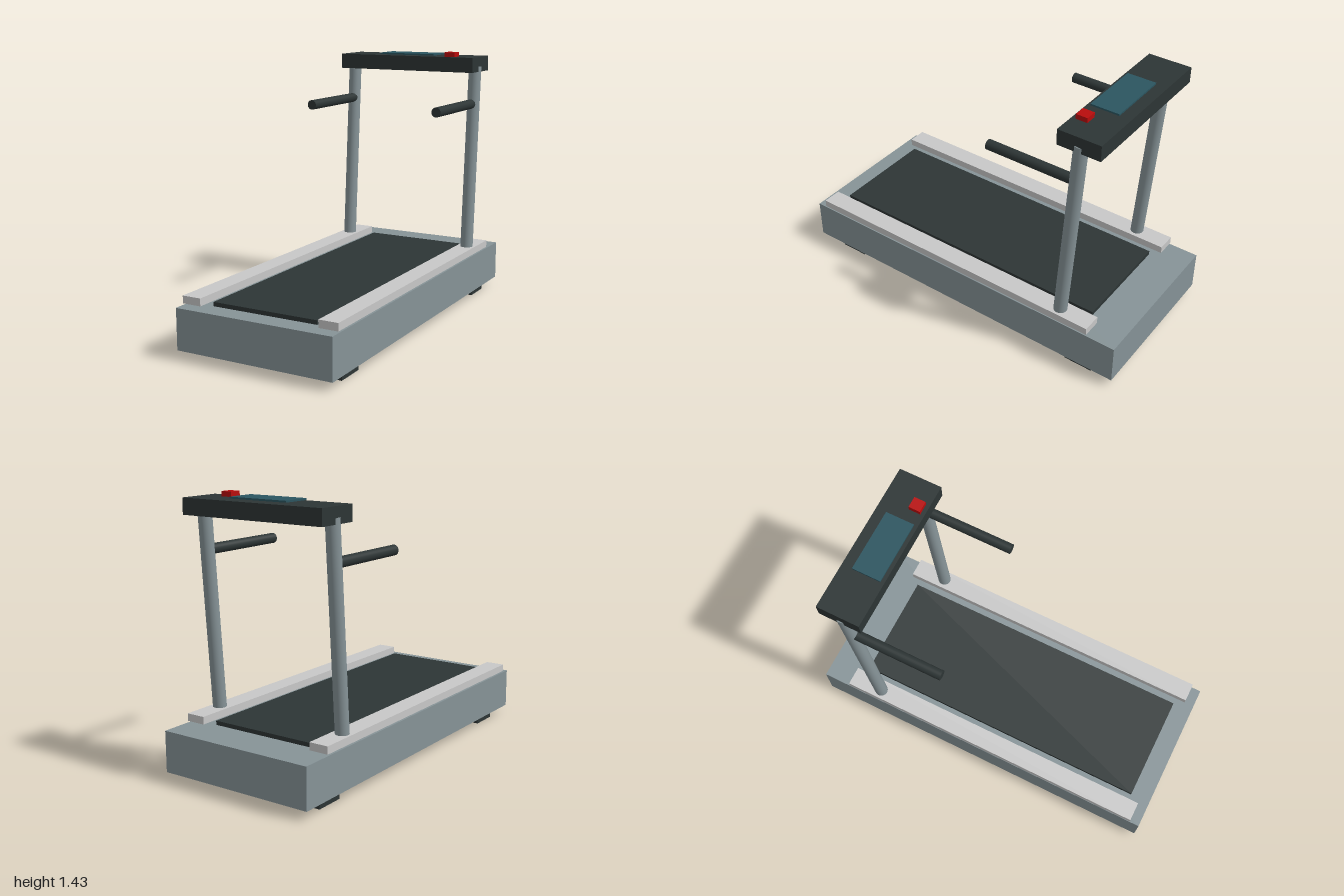
import * as THREE from 'three';

export function createModel() {
  const group = new THREE.Group();
  const mat = (name, color) => {
    const m = new THREE.MeshStandardMaterial({ color });
    m.name = name;
    return m;
  };
  const steel = mat('steel grey', 0x869397);
  const dark = mat('dark charcoal', 0x2d3535);
  const pale = mat('pale grey', 0xc8c8c8);
  const glass = mat('screen teal', 0x2b5560);
  const red = mat('stop red', 0xb80c0c);

  const add = (name, geometry, material) => {
    const mesh = new THREE.Mesh(geometry, material);
    mesh.name = name;
    group.add(mesh);
    return mesh;
  };
  // Box given by its limits on each axis
  const box = (name, material, [x0, x1], [y0, y1], [z0, z1]) =>
    add(name, new THREE.BoxGeometry(x1 - x0, y1 - y0, z1 - z0), material)
      .position.set((x0 + x1) / 2, (y0 + y1) / 2, (z0 + z1) / 2);
  // Cylinder between two points
  const rod = (name, material, a, b, radius) => {
    const dir = b.clone().sub(a);
    const mesh = add(name, new THREE.CylinderGeometry(radius, radius, dir.length(), 24), material);
    mesh.position.copy(a).add(b).multiplyScalar(0.5);
    mesh.quaternion.setFromUnitVectors(new THREE.Vector3(0, 1, 0), dir.normalize());
  };

  // Deck and running belt
  box('deck', steel, [-0.44, 0.44], [0.045, 0.262], [-1, 1]);
  box('belt', dark, [-0.295, 0.295], [0.25, 0.284], [-0.785, 0.89]);

  for (const s of [1, -1]) {
    const side = s > 0 ? 'left' : 'right';
    const span = (a, b) => (s > 0 ? [a, b] : [-b, -a]);
    // Feet, side rail
    box(side + 'FrontFoot', dark, span(0.28, 0.408), [0, 0.045], [0.7, 0.86]);
    box(side + 'BackFoot', dark, span(0.28, 0.408), [0, 0.045], [-0.86, -0.7]);
    box(side + 'Rail', pale, span(0.334, 0.44), [0.27, 0.31], [-0.837, 0.945]);
    // Leaning post and forward handle
    rod(side + 'Post', steel, new THREE.Vector3(s * 0.39, 0.262, -0.647),
      new THREE.Vector3(s * 0.39, 1.353, -0.722), 0.036);
    rod(side + 'Handle', dark, new THREE.Vector3(s * 0.386, 1.14, -0.695),
      new THREE.Vector3(s * 0.386, 1.14, -0.198), 0.027);
  }

  // Console with screen and stop button
  box('console', dark, [-0.42, 0.42], [1.323, 1.407], [-0.843, -0.608]);
  box('screen', glass, [-0.172, 0.17], [1.411, 1.42], [-0.783, -0.627]);
  box('stopButton', red, [0.238, 0.3], [1.405, 1.433], [-0.693, -0.63]);

  return group;
}
